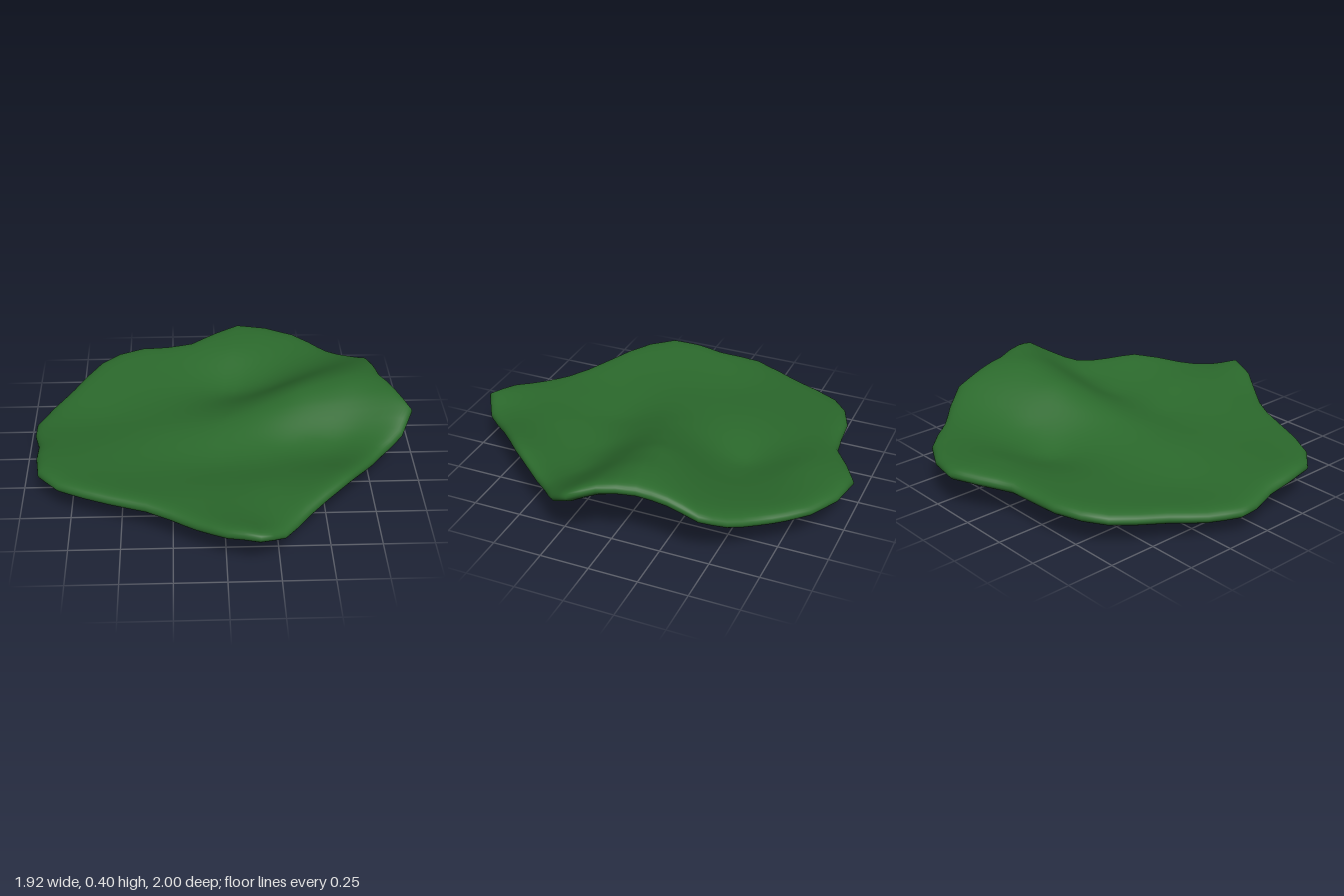
import * as THREE from 'three';
import { mergeVertices } from 'three/addons/utils/BufferGeometryUtils.js';

// Rim of the leaf: x, z and height of the middle of the edge
const RIM = [
  [0.13, -1.0, 0.2], [0.29, -0.97, 0.197], [0.44, -0.89, 0.197], [0.53, -0.8, 0.197], [0.62, -0.69, 0.2],
  [0.73, -0.58, 0.23], [0.81, -0.47, 0.28], [0.82, -0.32, 0.335], [0.835, -0.17, 0.36], [0.9, 0, 0.37],
  [0.96, 0.12, 0.338], [0.9, 0.23, 0.27], [0.79, 0.33, 0.225], [0.68, 0.47, 0.232], [0.58, 0.6, 0.252],
  [0.39, 0.78, 0.21], [0.27, 0.92, 0.197], [0.15, 0.995, 0.24], [0, 0.94, 0.22], [-0.14, 0.84, 0.19],
  [-0.26, 0.75, 0.18], [-0.38, 0.68, 0.18], [-0.56, 0.61, 0.175], [-0.68, 0.56, 0.175], [-0.81, 0.49, 0.17],
  [-0.91, 0.38, 0.17], [-0.93, 0.23, 0.16], [-0.93, 0.1, 0.14], [-0.96, -0.03, 0.12], [-0.96, -0.13, 0.115],
  [-0.89, -0.28, 0.115], [-0.79, -0.44, 0.13], [-0.72, -0.57, 0.14], [-0.65, -0.68, 0.15], [-0.55, -0.76, 0.16],
  [-0.42, -0.81, 0.165], [-0.28, -0.82, 0.165], [-0.14, -0.84, 0.175], [0, -0.93, 0.19],
];

// Dips, folds and ridges inside the leaf: x, z, height
const FOLDS = [
  [0.08, -0.42, 0.085], [-0.2, -0.5, 0.125], [-0.6, -0.15, 0.102], [-0.6, 0.12, 0.13], [-0.5, 0.4, 0.145],
  [-0.3, 0.04, 0.14], [0, 0.03, 0.183], [0.2, -0.04, 0.235], [0.4, -0.1, 0.3], [0.65, -0.1, 0.352],
  [0.3, -0.38, 0.15], [0.5, -0.45, 0.2], [0.1, -0.72, 0.17], [0, 0.3, 0.135], [-0.2, 0.3, 0.132],
  [0.35, 0.22, 0.165], [0.6, 0.23, 0.19], [0.2, 0.55, 0.188], [-0.1, 0.55, 0.165], [0.45, 0.45, 0.195],
];

// Smooth thin-plate surface through all the height points
function makeHeightField(points) {
  const n = points.length;
  const kernel = (dx, dz) => {
    const r2 = dx * dx + dz * dz;
    return r2 < 1e-9 ? 0 : r2 * Math.log(r2);
  };
  const basis = (x, z) => [...points.map((p) => kernel(x - p[0], z - p[1])), 1, x, z];
  const rows = points.map((p, i) => {
    const row = [...basis(p[0], p[1]), p[2]];
    row[i] += 0.001; // slight smoothing
    return row;
  });
  for (let k = 0; k < 3; k++) {
    rows.push([...points.map((p) => [1, p[0], p[1]][k]), 0, 0, 0, 0]);
  }
  const size = n + 3;
  for (let c = 0; c < size; c++) {
    let best = c;
    for (let r = c + 1; r < size; r++) if (Math.abs(rows[r][c]) > Math.abs(rows[best][c])) best = r;
    [rows[c], rows[best]] = [rows[best], rows[c]];
    for (let r = 0; r < size; r++) {
      if (r === c) continue;
      const f = rows[r][c] / rows[c][c];
      for (let k = c; k <= size; k++) rows[r][k] -= f * rows[c][k];
    }
  }
  const weights = rows.map((row, i) => row[size] / row[i]);
  return (x, z) => basis(x, z).reduce((sum, b, i) => sum + b * weights[i], 0);
}

// Closed slab: rings run from the top centre over the rounded rim to the bottom centre
function makeLeafGeometry() {
  const height = makeHeightField([...RIM, ...FOLDS]);
  const around = RIM.length * 2;
  const rings = 56;
  // Straight rim segments, each halved
  const outline = RIM.flatMap(([x, z], i) => {
    const [nx, nz] = RIM[(i + 1) % RIM.length];
    return [[x, z], [(x + nx) / 2, (z + nz) / 2]];
  });
  // Low bulge under the leaf that it rests on
  const bulge = (x, z) => 0.035 * Math.exp(-((x - 0.08) ** 2 + (z + 0.44) ** 2) / 0.02);
  const positions = [];
  const index = [];
  for (let j = 0; j <= rings; j++) {
    const s = j === rings ? 0 : Math.sin((Math.PI * j) / rings);
    const top = j <= rings / 2;
    const edge = Math.sqrt(Math.max(0, 1 - Math.pow(s, top ? 24 : 12)));
    for (const [ox, oz] of outline) {
      const x = ox * s;
      const z = oz * s;
      const offset = top ? 0.045 * edge : -0.05 * edge - bulge(x, z);
      positions.push(x, height(x, z) + offset, z);
    }
  }
  for (let j = 0; j < rings; j++) {
    for (let i = 0; i < around; i++) {
      const next = (i + 1) % around;
      const a = j * around + i;
      const b = j * around + next;
      const c = a + around;
      const d = b + around;
      if (j > 0) index.push(a, b, c);
      if (j < rings - 1) index.push(b, d, c);
    }
  }
  let geometry = new THREE.BufferGeometry();
  geometry.setAttribute('position', new THREE.Float32BufferAttribute(positions, 3));
  geometry.setIndex(index);
  geometry = mergeVertices(geometry, 1e-5);
  geometry.computeBoundingBox();
  geometry.translate(0, -geometry.boundingBox.min.y, 0);
  geometry.computeVertexNormals();
  return geometry;
}

export function createModel() {
  const group = new THREE.Group();
  group.name = 'leaf';
  const green = new THREE.MeshStandardMaterial({ color: 0x2b692c });
  green.name = 'leaf green';
  const blade = new THREE.Mesh(makeLeafGeometry(), green);
  blade.name = 'leafBlade';
  group.add(blade);
  return group;
}
